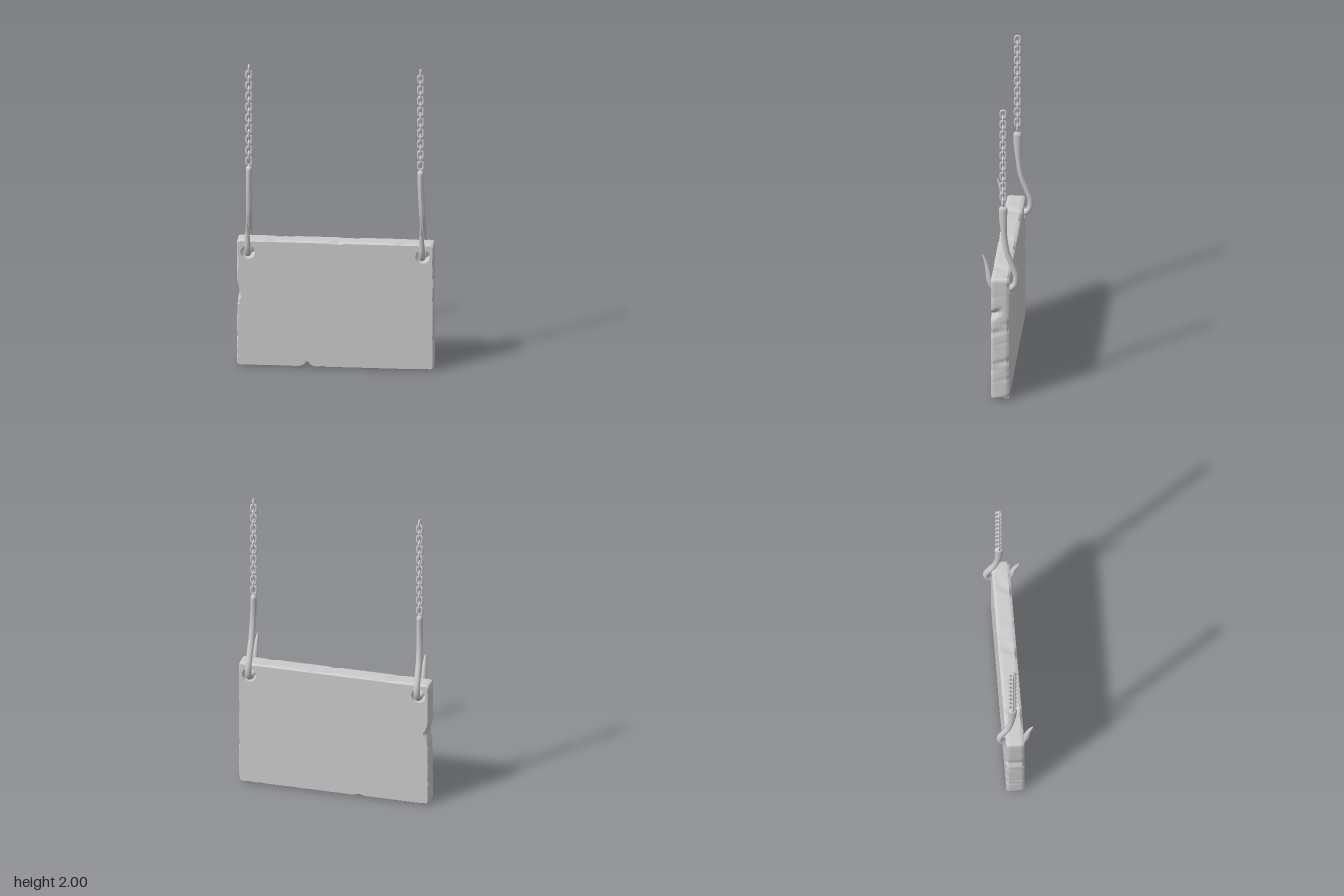
import * as THREE from 'three';
import { toCreasedNormals } from 'three/addons/utils/BufferGeometryUtils.js';

const W = 0.625, H = 0.845, Z0 = -0.06, Z1 = 0.055;
const HOLE = { x: 0.555, y: 0.765, r: 0.046 };
const grey = new THREE.MeshStandardMaterial({ color: 0xcccccc });
const { smoothstep, lerp } = THREE.MathUtils;
const bump = (v, centre, width) => Math.exp(-(((v - centre) / width) ** 2));

function named(name, geometry) {
  const mesh = new THREE.Mesh(geometry, grey);
  mesh.name = name;
  return mesh;
}

// Rounded rectangle with many points along each side, so the edges can be chipped
function boardShape() {
  const r = 0.018, pts = [];
  const corners = [[-W, 0], [W, 0], [W, H], [-W, H]];
  corners.forEach(([ax, ay], i) => {
    const [bx, by] = corners[(i + 1) % 4];
    const a = new THREE.Vector2(ax, ay), b = new THREE.Vector2(bx, by);
    const dir = b.clone().sub(a).normalize();
    const length = a.distanceTo(b), n = Math.round(length / 0.0125);
    for (let k = 0; k <= n; k++) {
      pts.push(a.clone().addScaledVector(dir, lerp(r, length - r, k / n)));
    }
    const next = new THREE.Vector2(-dir.y, dir.x);
    pts.push(b.clone().addScaledVector(dir, -r * 0.3).addScaledVector(next, r * 0.3));
  });
  const shape = new THREE.Shape(pts);
  for (const s of [-1, 1]) {
    shape.holes.push(new THREE.Path().absarc(s * HOLE.x, HOLE.y, HOLE.r, 0, Math.PI * 2, true));
  }
  return shape;
}

// How far the worn rim is pushed inward at a point
function wear(x, y, z, face) {
  const s = x * 1.3 + y * 2.1 + (y > H / 2 ? 1.7 : 0);
  const waves = Math.sin(s * 11 + z * 9) + Math.sin(s * 23 + 2 + z * 30) + 0.7 * Math.sin(s * 47 + z * 15);
  const nearHole = Math.abs(x) > 0.5 ? bump(y, HOLE.y, 0.07) : 0;
  return 0.009 * face + Math.max(0, waves - 0.3) * (0.003 + 0.005 * face) * (1 - nearHole);
}

function board() {
  let geo = new THREE.ExtrudeGeometry(boardShape(), {
    depth: Z1 - Z0, steps: 8, bevelEnabled: false, curveSegments: 16,
  });
  geo.translate(0, 0, Z0);
  const p = geo.attributes.position;
  for (let i = 0; i < p.count; i++) {
    const x = p.getX(i), y = p.getY(i), z = p.getZ(i);
    const wx = smoothstep(Math.abs(x), W - 0.023, W);
    const wy = smoothstep(Math.abs(y - H / 2), H / 2 - 0.023, H / 2);
    const face = z > Z1 - 0.002 || z < Z0 + 0.002 ? 1 : 0;
    const front = smoothstep(z, -0.03, Z1);
    const inset = wear(x, y, z, face);
    let dx = inset, dy = inset;
    // slanted gouge on the left side, hollow on the right side
    if (x > 0) dx += 0.042 * front * bump(y, 0.585 + (Z1 - z) * 0.6, 0.022);
    else dx += 0.016 * bump(y, 0.5, 0.05) + 0.007 * front * bump(y, 0.38, 0.03);
    // bottom chips and the crack running up the front
    if (y < 0.1) {
      dy += front * (0.014 * bump(x, -0.34, 0.05) + 0.022 * bump(x, -0.18, 0.03)
        + 0.085 * Math.max(0, 1 - Math.abs(x + 0.18) / 0.012));
    }
    p.setXYZ(i, x - Math.sign(x) * dx * wx, y + (y < H / 2 ? 1 : -1) * dy * wy, z);
  }
  geo = toCreasedNormals(geo, 0.6);
  return named('board', geo);
}

// Tapered hook: down behind the board, through the hole and up in front
function hook(topX, lowX) {
  const path = [
    [1.325, -0.016], [1.23, -0.016], [1.1, -0.025], [1.0, -0.042], [0.91, -0.075],
    [0.84, -0.097], [0.785, -0.092], [0.753, -0.06], [0.744, 0], [0.755, 0.045],
    [0.8, 0.066], [0.86, 0.077], [0.92, 0.09], [0.985, 0.114],
  ].map(([y, z]) => new THREE.Vector3(lerp(lowX, topX, smoothstep(y, 0.8, 1.3)), y, z));
  const curve = new THREE.CatmullRomCurve3(path);
  const rings = 90, sides = 14;
  const geo = new THREE.TubeGeometry(curve, rings, 1, sides);
  const p = geo.attributes.position, v = new THREE.Vector3();
  for (let i = 0; i <= rings; i++) {
    const t = i / rings, c = curve.getPointAt(t);
    const topEnd = Math.sqrt(Math.min(1, t / 0.02));
    const tip = Math.min(1, Math.sqrt(Math.max(0, (1 - t) / 0.2)));
    const thick = topEnd * tip * (0.0185 + 0.009 * (1 - smoothstep(t, 0.02, 0.25)) + 0.003 * bump(t, 0.85, 0.08));
    const wide = topEnd * tip * 0.02;
    for (let j = 0; j <= sides; j++) {
      const k = i * (sides + 1) + j;
      v.fromBufferAttribute(p, k).sub(c);
      p.setXYZ(k, c.x + v.x * wide, c.y + v.y * thick, c.z + v.z * thick);
    }
  }
  geo.computeVertexNormals();
  return named('hook', geo);
}

// Oval links, each turned a quarter from the one above
function chain(x) {
  const group = new THREE.Group();
  group.name = 'chain';
  const tube = 0.0072, r = 0.0175, straight = 0.0093;
  const geo = new THREE.TorusGeometry(r, tube, 8, 24);
  const p = geo.attributes.position;
  for (let i = 0; i < p.count; i++) {
    const y = p.getY(i);
    p.setY(i, y + straight * THREE.MathUtils.clamp(y / 0.008, -1, 1));
  }
  geo.computeVertexNormals();
  for (let i = 0; i < 18; i++) {
    const link = named('chainLink', geo);
    link.position.set(x, 1.966 - i * 0.0362, -0.016);
    link.rotation.y = i % 2 ? 0 : Math.PI / 2;
    group.add(link);
  }
  return group;
}

export function createModel() {
  const model = new THREE.Group();
  model.name = 'hangingSign';
  model.add(board());
  for (const [side, topX, lowX] of [['left', 0.536, 0.55], ['right', -0.553, -0.556]]) {
    const hanger = new THREE.Group();
    hanger.name = side + 'Hanger';
    hanger.add(hook(topX, lowX), chain(topX));
    model.add(hanger);
  }
  return model;
}
